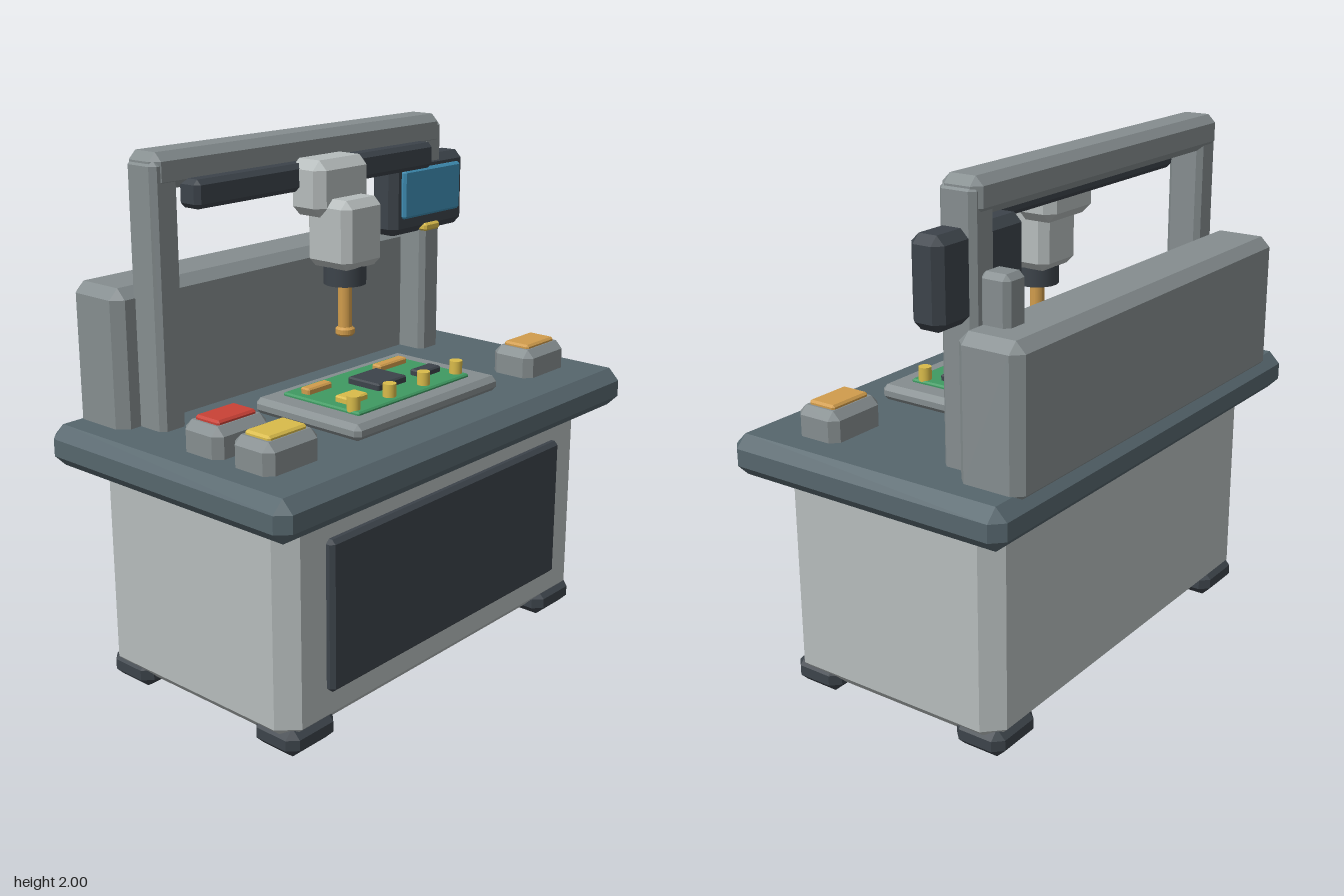
import * as THREE from 'three';
import { ConvexGeometry } from 'three/addons/geometries/ConvexGeometry.js';

const paint = (color) => new THREE.MeshStandardMaterial({ color, flatShading: true });
const smoothPaint = (color) => new THREE.MeshStandardMaterial({ color });

const SLATE = 0x56666d, PALE = 0xb6bcbc, GREY = 0x858d8f, DARK = 0x3c434a;
const BLUE = 0x3f8fb5, BRASS = 0xd09c4c, YELLOW = 0xd9bb4a, RED = 0xc94136, GREEN = 0x3f9a62;

// Box with every edge chamfered by c, spanning the given ranges
function chamferBox(name, color, [x0, x1], [y0, y1], [z0, z1], c) {
  const h = [(x1 - x0) / 2, (y1 - y0) / 2, (z1 - z0) / 2];
  const points = [];
  for (const sx of [-1, 1]) for (const sy of [-1, 1]) for (const sz of [-1, 1]) {
    for (let axis = 0; axis < 3; axis++) {
      const p = h.map((v, i) => (i === axis ? v : v - c));
      points.push(new THREE.Vector3(p[0] * sx, p[1] * sy, p[2] * sz));
    }
  }
  const mesh = new THREE.Mesh(new ConvexGeometry(points), paint(color));
  mesh.name = name;
  mesh.position.set((x0 + x1) / 2, (y0 + y1) / 2, (z0 + z1) / 2);
  return mesh;
}

// Upright cylinder between two heights
function rod(name, color, r, y0, y1, x, z) {
  const mesh = new THREE.Mesh(new THREE.CylinderGeometry(r, r, y1 - y0, 24), smoothPaint(color));
  mesh.name = name;
  mesh.position.set(x, (y0 + y1) / 2, z);
  return mesh;
}

// Turned part from [radius, height] pairs; corners doubled to keep edges crisp
function turned(name, color, profile, x, z) {
  const pts = profile.flatMap(([r, y]) => [new THREE.Vector2(r, y), new THREE.Vector2(r, y)]);
  const geo = new THREE.LatheGeometry(pts, 24);
  const mesh = new THREE.Mesh(geo, paint(color));
  mesh.name = name;
  mesh.position.set(x, 0, z);
  return mesh;
}

function group(name, ...parts) {
  const g = new THREE.Group();
  g.name = name;
  g.add(...parts);
  return g;
}

// Control box with a coloured push key on top
function buttonBox(name, color, x, z) {
  return group(name,
    chamferBox('buttonHousing', GREY, [x - 0.13, x + 0.13], [0.99, 1.13], [z - 0.093, z + 0.093], 0.03),
    chamferBox('buttonKey', color, [x - 0.092, x + 0.092], [1.11, 1.145], [z - 0.058, z + 0.058], 0.008));
}

export function createModel() {
  const model = new THREE.Group();
  model.name = 'assemblyStation';

  // Cabinet, front panel and feet
  const base = group('base',
    chamferBox('cabinet', PALE, [-0.87, 0.87], [0.04, 0.9], [-0.475, 0.475], 0.068),
    chamferBox('frontPanel', DARK, [-0.677, 0.677], [0.2, 0.77], [0.45, 0.505], 0.015));
  for (const s of [-1, 1]) for (const t of [-1, 1]) {
    const x = 0.735 * s, z = 0.375 * t;
    base.add(chamferBox('foot', DARK, [x - 0.12, x + 0.12], [0, 0.11], [z - 0.105, z + 0.105], 0.035));
  }

  // Work table and rear housing
  const table = chamferBox('tableTop', SLATE, [-1, 1], [0.865, 1.02], [-0.592, 0.592], 0.045);
  const rear = group('rearHousing',
    chamferBox('rearCabinet', GREY, [-0.87, 0.87], [0.98, 1.528], [-0.577, -0.318], 0.038),
    chamferBox('rearPost', GREY, [0.645, 0.755], [1.4, 1.7], [-0.453, -0.335], 0.02));

  // Gantry frame with its rail
  const gantry = group('gantry',
    chamferBox('crossBeam', GREY, [-0.777, 0.777], [1.87, 2], [-0.357, -0.197], 0.03),
    chamferBox('rail', DARK, [-0.648, 0.648], [1.8, 1.902], [-0.235, -0.133], 0.018));
  for (const s of [-1, 1]) {
    const x = 0.725 * s;
    gantry.add(chamferBox('column', GREY, [x - 0.06, x + 0.06], [0.99, 1.975], [-0.345, -0.2], 0.02));
  }

  // Spindle head hanging from the rail
  const head = group('spindleHead',
    chamferBox('carriage', PALE, [-0.145, 0.145], [1.71, 1.918], [-0.2, -0.03], 0.035),
    chamferBox('spindleHousing', PALE, [-0.108, 0.108], [1.52, 1.778], [-0.148, 0.066], 0.03),
    rod('collar', DARK, 0.08, 1.45, 1.53, 0, -0.04),
    turned('nozzle', BRASS,
      [[0, 1.25], [0.031, 1.25], [0.037, 1.257], [0.037, 1.275], [0.027, 1.283], [0.027, 1.46]], 0, -0.04));

  // Display on the left column
  const display = group('display',
    chamferBox('displayCase', DARK, [0.47, 0.935], [1.528, 1.838], [-0.325, -0.195], 0.03),
    chamferBox('screen', BLUE, [0.518, 0.885], [1.598, 1.795], [-0.215, -0.177], 0.01),
    chamferBox('displayTab', YELLOW, [0.658, 0.755], [1.53, 1.562], [-0.225, -0.18], 0.008));

  // Fixture holding the circuit board
  const fixture = group('fixture',
    chamferBox('fixturePlate', GREY, [-0.413, 0.413], [1.018, 1.08], [-0.125, 0.387], 0.02),
    chamferBox('circuitBoard', GREEN, [-0.322, 0.322], [1.065, 1.092], [-0.06, 0.31], 0.006),
    chamferBox('mainChip', DARK, [-0.082, 0.082], [1.08, 1.118], [0.045, 0.198], 0.006),
    chamferBox('smallChip', DARK, [0.158, 0.275], [1.08, 1.115], [0.15, 0.21], 0.006),
    chamferBox('relay', YELLOW, [-0.278, -0.172], [1.08, 1.115], [0.155, 0.227], 0.006),
    chamferBox('rightConnector', BRASS, [-0.287, -0.158], [1.08, 1.115], [-0.006, 0.038], 0.006),
    chamferBox('leftConnector', BRASS, [0.115, 0.278], [1.08, 1.115], [-0.006, 0.038], 0.006));
  for (let i = 0; i < 4; i++) {
    fixture.add(rod('pin', YELLOW, 0.025, 1.085, 1.142, -0.298 + i * 0.198, 0.265));
  }

  model.add(base, table, rear, gantry, head, display, fixture,
    buttonBox('redButton', RED, -0.73, 0.065),
    buttonBox('yellowButton', YELLOW, -0.73, 0.303),
    buttonBox('brassButton', BRASS, 0.73, 0.303));
  return model;
}
